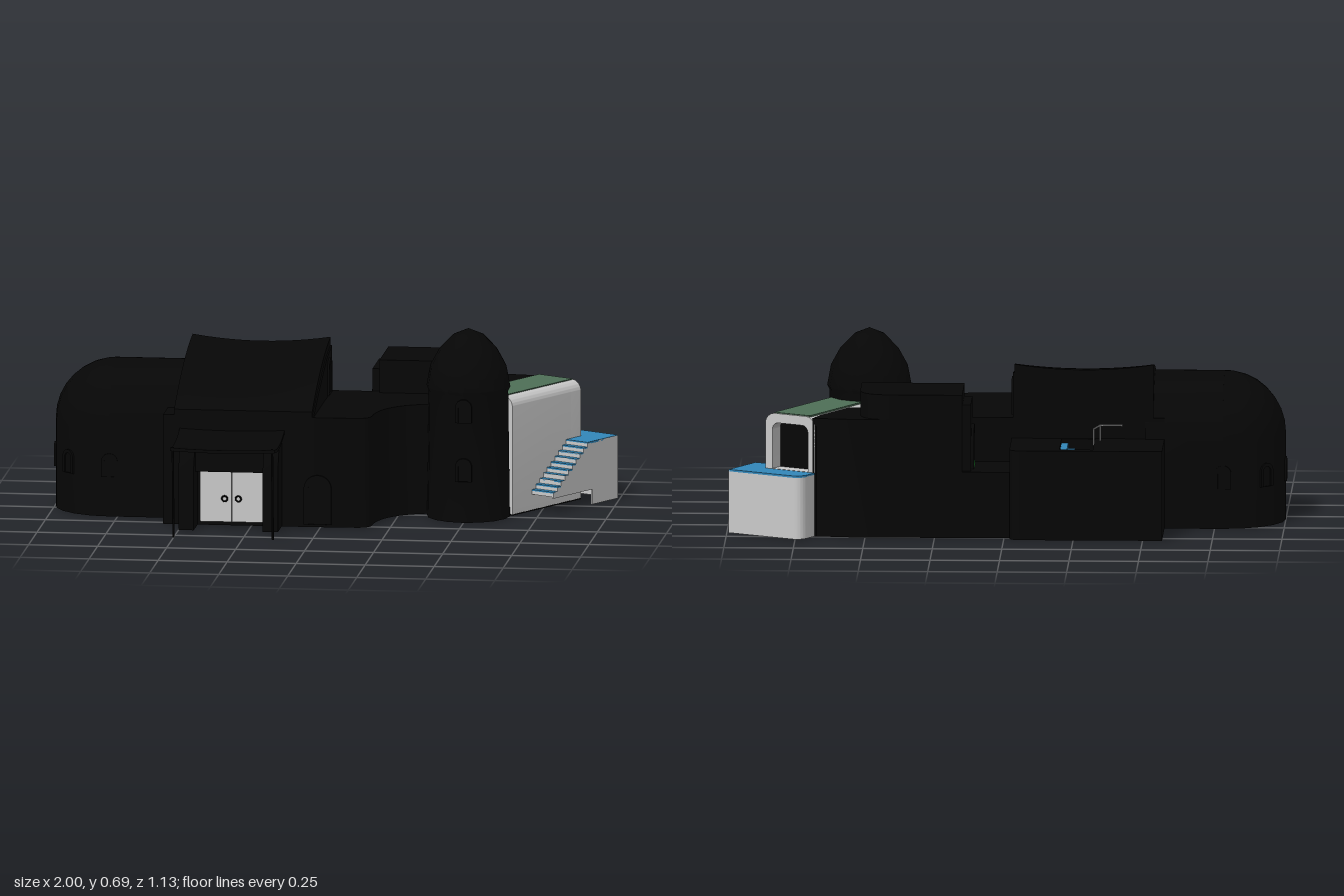
import * as THREE from 'three';
import { toCreasedNormals } from 'three/addons/utils/BufferGeometryUtils.js';

const mat = (color) => new THREE.MeshStandardMaterial({ color, side: THREE.DoubleSide });
const dark = mat(0x060606), grey = mat(0xcccccc), blue = mat(0x3388bb), green = mat(0x4f7058);

function add(parent, name, geo, material = dark) {
  const mesh = new THREE.Mesh(toCreasedNormals(geo, 0.7), material);
  mesh.name = name;
  parent.add(mesh);
}

const polygon = (pts) => new THREE.Shape(pts.map(([a, b]) => new THREE.Vector2(a, b)));
const extrude = (shape, depth) => new THREE.ExtrudeGeometry(shape, { depth, bevelEnabled: false, curveSegments: 12 });

// Footprint drawn as (x, -z), raised from y0 to y1
const raise = (shape, y0, y1) => extrude(shape, y1 - y0).rotateX(-Math.PI / 2).translate(0, y0, 0);
// Cross-section drawn as (-z, y), swept from x0 to x1
const alongX = (shape, x0, x1) => extrude(shape, x1 - x0).rotateY(Math.PI / 2).translate(x0, 0, 0);
const box = (x0, x1, y0, y1, z0, z1) =>
  new THREE.BoxGeometry(x1 - x0, y1 - y0, z1 - z0).translate((x0 + x1) / 2, (y0 + y1) / 2, (z0 + z1) / 2);
const rod = (points, r) =>
  new THREE.TubeGeometry(new THREE.CatmullRomCurve3(points.map((p) => new THREE.Vector3(...p)), false, 'catmullrom', 0), 16, r, 6);

// Upright outline with rounded top corners
function roundTop(x0, x1, y0, y1, r, Type = THREE.Shape) {
  const s = new Type();
  s.moveTo(x0, y0);
  s.lineTo(x1, y0);
  s.lineTo(x1, y1 - r);
  s.absarc(x1 - r, y1 - r, r, 0, Math.PI / 2, false);
  s.lineTo(x0 + r, y1);
  s.absarc(x0 + r, y1 - r, r, Math.PI / 2, Math.PI, false);
  s.lineTo(x0, y0);
  return s;
}
const archShape = (w, h, Type) => roundTop(-w / 2, w / 2, 0, h, w / 2 - 0.0005, Type);

// Raised arched surround with a flat panel inside, facing local +z
function arch(parent, name, w, h, x, y, z, angle, rim = 0.012) {
  const g = new THREE.Group();
  g.name = name;
  const frame = archShape(w, h);
  frame.holes.push(roundTop(rim - w / 2, w / 2 - rim, 0.001, h - rim, w / 2 - rim - 0.0005, THREE.Path));
  add(g, 'archSurround', extrude(frame, 0.012).translate(0, 0, -0.004));
  add(g, 'archPanel', extrude(archShape(w - 2 * rim, h - rim), 0.003));
  g.position.set(x, y, z);
  g.rotation.y = angle;
  parent.add(g);
}

function buildApse(root) {
  const R = 0.22, wall = 0.32, cx = -0.78, cz = -0.06;
  const profile = [new THREE.Vector2(R, 0)];
  for (let i = 0; i <= 8; i++) {
    const a = (i / 8) * Math.PI / 2;
    profile.push(new THREE.Vector2(R * Math.cos(a), wall + R * Math.sin(a)));
  }
  add(root, 'apseEnd', new THREE.LatheGeometry(profile, 10, Math.PI, Math.PI).translate(cx, 0, cz));
  const vault = archShape(2 * R, wall + R);
  vault.holes.push(roundTop(-R + 0.01, R - 0.01, 0.001, wall + R - 0.01, R - 0.011, THREE.Path));
  add(root, 'apseVault', alongX(vault, cx, -0.5).translate(0, 0, cz));
  for (let i = 0; i < 5; i++) {
    const a = -i * Math.PI / 4;
    arch(root, 'apseWindow', 0.06, 0.085, cx + 0.216 * Math.sin(a), 0.145, cz + 0.216 * Math.cos(a), a);
  }
}

function buildHall(root) {
  const profile = polygon([[-0.28, 0], [0.27, 0], [0.27, 0.565], [0.12, 0.545], [0, 0.505], [-0.13, 0.46], [-0.28, 0.4]]);
  add(root, 'hall', alongX(profile, -0.53, -0.025));
  add(root, 'hallShoulder', box(-0.57, -0.52, 0, 0.4, -0.27, 0.28));
  arch(root, 'hallNiche', 0.1, 0.13, -0.026, 0.405, -0.18, Math.PI / 2);
  // Sagging sloped roof
  const roof = new THREE.BoxGeometry(0.5, 0.04, 0.55, 12, 1, 10).translate(-0.28, 0, 0.005);
  const p = roof.attributes.position;
  for (let i = 0; i < p.count; i++) {
    const t = (0.28 - p.getZ(i)) / 0.55, u = (p.getX(i) + 0.28) / 0.25;
    p.setY(i, p.getY(i) + 0.4 + 0.29 * t - 0.115 * t * t - 0.02 * (1 - u * u) * t);
  }
  roof.computeVertexNormals();
  add(root, 'hallRoof', roof);

  // Porch piers, lintel and double door
  const pier = polygon([[-0.395, 0], [-0.28, 0], [-0.28, 0.315], [-0.355, 0.315], [-0.395, 0.23]]);
  for (const x of [-0.5, -0.195]) add(root, 'porchPier', alongX(pier, x, x + 0.055));
  add(root, 'porchLintel', box(-0.445, -0.195, 0.205, 0.315, 0.28, 0.34));
  for (const s of [-1, 1]) {
    const x = -0.32 + s * 0.058;
    add(root, 'doorLeaf', box(x - 0.057, x + 0.057, 0.015, 0.205, 0.28, 0.295), grey);
    add(root, 'doorHandle', new THREE.TorusGeometry(0.01, 0.003, 6, 12).translate(-0.32 + s * 0.025, 0.1, 0.298));
  }

  // Cloth awning on two leaning poles
  const awning = new THREE.BoxGeometry(0.38, 0.012, 0.29, 10, 1, 12).translate(-0.32, 0, 0.425);
  const q = awning.attributes.position;
  for (let i = 0; i < q.count; i++) {
    const t = (q.getZ(i) - 0.28) / 0.29, u = (q.getX(i) + 0.32) / 0.19;
    q.setY(i, q.getY(i) + 0.345 - 0.018 * t - 0.07 * t * (1 - t) - 0.006 * (1 - u * u));
  }
  awning.computeVertexNormals();
  add(root, 'awning', awning);
  for (const x of [-0.5, -0.14]) add(root, 'awningPole', rod([[x, 0, 0.545], [x, 0.335, 0.567]], 0.004));
}

function buildTerraces(root) {
  // Front terrace with a rounded corner and a concave wall to the tower
  const s = new THREE.Shape();
  s.moveTo(-0.03, 0.27);
  s.lineTo(-0.03, -0.28);
  s.lineTo(0.13, -0.275);
  s.quadraticCurveTo(0.18, -0.27, 0.18, -0.22);
  s.bezierCurveTo(0.18, -0.08, 0.25, 0.02, 0.38, 0.04);
  s.lineTo(0.5, 0.04);
  s.lineTo(0.5, 0.27);
  add(root, 'frontTerrace', raise(s, 0, 0.4));
  arch(root, 'terraceDoor', 0.1, 0.18, -0.01, 0.01, 0.28, 0, 0.016);

  // Low rear block with a stairwell
  const low = new THREE.Shape();
  low.moveTo(-0.57, 0.25);
  low.lineTo(-0.02, 0.25);
  low.lineTo(-0.02, 0.51);
  low.quadraticCurveTo(-0.02, 0.55, -0.06, 0.55);
  low.lineTo(-0.57, 0.55);
  low.holes.push(new THREE.Path([[-0.32, 0.28], [-0.2, 0.28], [-0.2, 0.515], [-0.32, 0.515]].map((v) => new THREE.Vector2(...v))));
  add(root, 'rearBlock', raise(low, 0, 0.325));
  add(root, 'wellFloor', box(-0.32, -0.2, 0, 0.2, -0.515, -0.28));
  for (let i = 0; i < 5; i++) {
    const x = -0.32 + i * 0.024;
    add(root, 'wellStep', box(x, x + 0.024, 0.2, 0.23 + i * 0.02, -0.515, -0.28), blue);
  }
  add(root, 'rail', rod([[-0.42, 0.38, -0.31], [-0.34, 0.38, -0.31], [-0.32, 0.38, -0.39]], 0.003), grey);
  for (const [x, z] of [[-0.34, -0.31], [-0.32, -0.39]]) add(root, 'railPost', rod([[x, 0.32, z], [x, 0.38, z]], 0.003), grey);

  // Tall rear block with a rounded rear corner, its lower landing and doorway
  add(root, 'rearLanding', box(-0.03, 0.16, 0, 0.24, -0.51, -0.26));
  const tall = polygon([[0.15, 0.24], [0.52, 0.24], [0.52, 0.4]]);
  tall.quadraticCurveTo(0.52, 0.51, 0.4, 0.51);
  tall.lineTo(0.15, 0.51);
  add(root, 'tallBlock', raise(tall, 0, 0.52));
  add(root, 'doorSurround', box(0.12, 0.16, 0.24, 0.48, -0.48, -0.28));
  arch(root, 'rearDoor', 0.12, 0.155, 0.118, 0.24, -0.38, -Math.PI / 2, 0.016);
  add(root, 'greenDoorSill', box(0.11, 0.12, 0.24, 0.255, -0.42, -0.34), mat(0x1f8f2f));
  const link = polygon([[0.38, 0.25], [0.6, 0.25], [0.69, 0.49], [0.54, 0.51], [0.38, 0.51]]);
  add(root, 'linkBlock', raise(link, 0, 0.43));
}

function buildTower(root) {
  const pts = [[0.15, 0], [0.144, 0.46], [0.152, 0.475], [0.138, 0.55], [0.105, 0.61], [0.055, 0.662], [0, 0.685]];
  const profile = pts.map(([r, y]) => new THREE.Vector2(r, y));
  add(root, 'domedTower', new THREE.LatheGeometry(profile, 16).translate(0.5, 0, -0.018));
  for (const y of [0.15, 0.365]) arch(root, 'towerWindow', 0.06, 0.085, 0.5, y, 0.13, 0);
}

// Angled wing: local -z runs away from the tower, local +x is the stair side
function buildWing(root) {
  const g = new THREE.Group();
  g.name = 'angledWing';
  g.position.set(0.5, 0, -0.02);
  g.rotation.y = -Math.PI / 6;
  root.add(g);
  add(g, 'wingBody', extrude(roundTop(-0.08, 0.13, 0, 0.434, 0.04), 0.35).translate(0, 0, -0.44), grey);
  add(g, 'wingRoof', box(-0.055, 0.095, 0.43, 0.437, -0.495, -0.09), green);
  add(g, 'wingInnerWall', box(-0.084, -0.079, 0, 0.4, -0.5, -0.09));
  add(g, 'wingBase', box(-0.082, 0.131, 0, 0.004, -0.5, -0.088));

  // Recessed doorway at the far end
  const end = roundTop(-0.08, 0.13, 0, 0.434, 0.04);
  end.holes.push(roundTop(-0.05, 0.1, 0.232, 0.4, 0.025, THREE.Path));
  add(g, 'wingEndFrame', extrude(end, 0.06).translate(0, 0, -0.5), grey);
  add(g, 'wingDoor', box(-0.05, 0.1, 0.232, 0.4, -0.446, -0.441));

  // Hollow outer stair: stepped side wall drawn as (distance, y), notched below
  const n = 10, u0 = 0.208, run = 0.0225, y0 = 0.06, rise = 0.017, outer = 0.226, back = 0.595;
  const side = [[u0, 0.055]];
  for (let i = 0; i < n; i++) {
    const u = u0 + i * run, y = y0 + (i + 1) * rise;
    side.push([u, y], [u + run, y]);
    add(g, 'stairTread', box(0.13, outer, y - 0.004, y + 0.001, -u - run, -u), blue);
    add(g, 'stairRiser', box(0.13, outer, y - rise, y, -u - 0.004, -u), grey);
  }
  side.push([back, 0.23], [back, 0], [0.44, 0], [0.44, 0.055]);
  add(g, 'stairSideWall', alongX(polygon(side), outer - 0.006, outer), grey);

  // Hollow landing with one rounded corner
  const deck = polygon([[outer, u0 + n * run], [outer, back], [-0.035, back]]);
  deck.quadraticCurveTo(-0.078, back, -0.078, back - 0.045);
  deck.lineTo(-0.078, 0.49);
  deck.lineTo(0.13, 0.49);
  deck.lineTo(0.13, u0 + n * run);
  add(g, 'landingDeck', raise(deck, 0.224, 0.231), blue);
  const wall = polygon([[outer, back], [-0.035, back]]);
  wall.quadraticCurveTo(-0.078, back, -0.078, back - 0.045);
  wall.lineTo(-0.078, 0.49);
  wall.lineTo(-0.072, 0.49);
  wall.lineTo(-0.072, back - 0.045);
  wall.quadraticCurveTo(-0.072, back - 0.006, -0.035, back - 0.006);
  wall.lineTo(outer, back - 0.006);
  add(g, 'landingWall', raise(wall, 0, 0.226), grey);
}

export function createModel() {
  const root = new THREE.Group();
  root.name = 'adobeBuilding';
  [buildApse, buildHall, buildTerraces, buildTower, buildWing].forEach((build) => build(root));
  return root;
}
